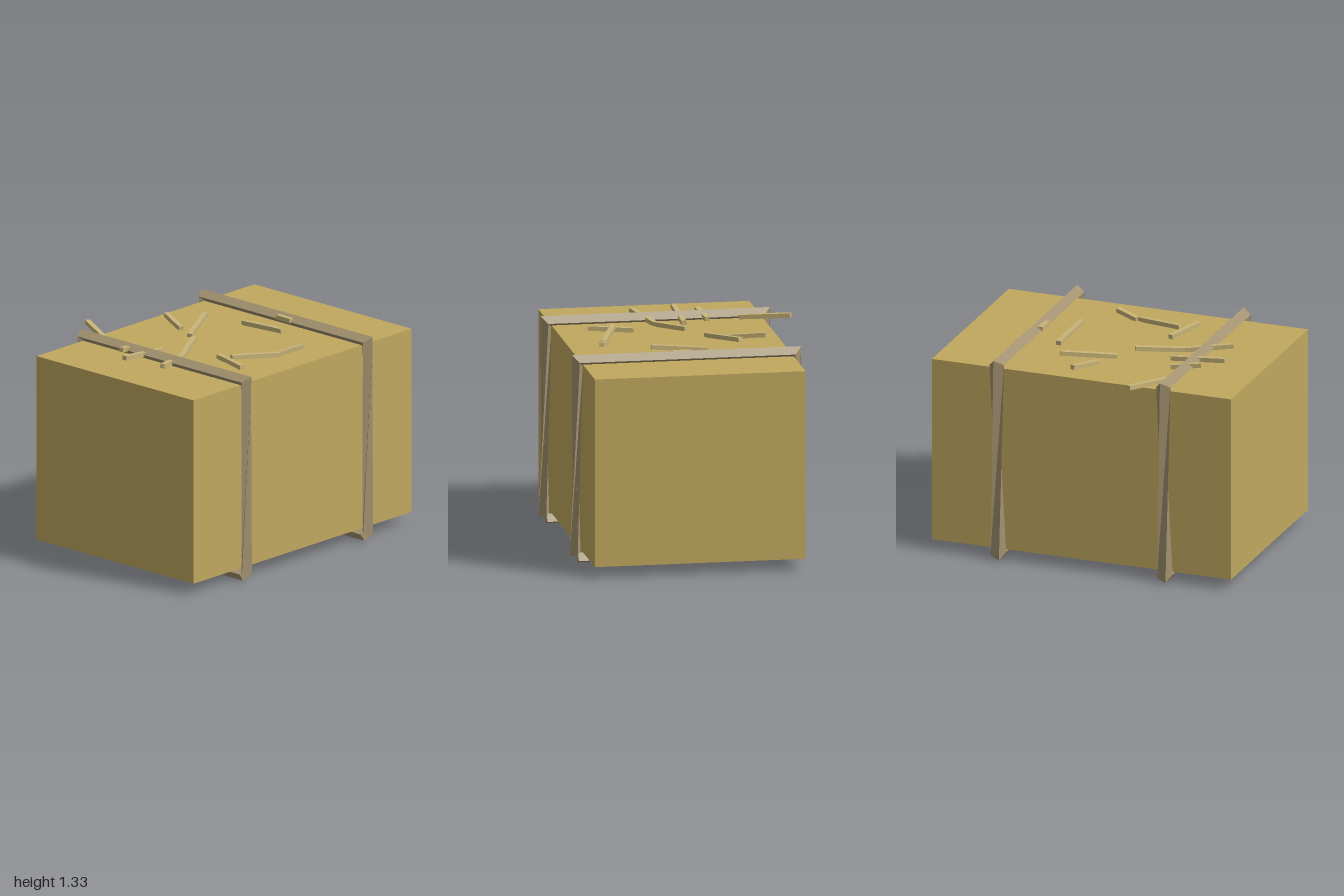
import * as THREE from 'three';

const hay = new THREE.MeshStandardMaterial({ name: 'hay', color: 0xc0a85f, flatShading: true });
const twine = new THREE.MeshStandardMaterial({ name: 'twine', color: 0xa39270, flatShading: true });
const straw = new THREE.MeshStandardMaterial({ name: 'straw', color: 0xc8b478, flatShading: true });

// Four-sided strap wrapped round the bale: [dx, y, z, outward y, outward z, phase in degrees]
const STATIONS = [
  [-0.005, 0.042, 0.735, -1, 0, 20],
  [-0.005, 0.05, -0.642, -1, -1, 20],
  [0.005, 1.305, -0.642, 1, -1, 80],
  [0.005, 1.305, 0.738, 1, 1, 80],
  [-0.005, 0.058, 0.75, 0, 1, 170],
];

function strapGeometry() {
  const rings = STATIONS.map(([dx, y, z, oy, oz, phase]) =>
    [0, 1, 2, 3].map((i) => {
      const a = THREE.MathUtils.degToRad(phase + i * 90);
      const out = Math.sin(a) * 0.037;
      return [dx + Math.cos(a) * 0.051, y + oy * out, z + oz * out];
    }));
  const pos = [];
  const quad = (a, b, c, d) => pos.push(...a, ...b, ...c, ...a, ...c, ...d);
  for (let s = 0; s < rings.length - 1; s++) {
    for (let i = 0; i < 4; i++) {
      const j = (i + 1) % 4;
      quad(rings[s][i], rings[s][j], rings[s + 1][j], rings[s + 1][i]);
    }
  }
  // end caps
  quad(...[...rings[0]].reverse());
  quad(...rings[rings.length - 1]);
  const g = new THREE.BufferGeometry();
  g.setAttribute('position', new THREE.Float32BufferAttribute(pos, 3));
  g.computeVertexNormals();
  return g;
}

// Loose straws on top, each from one end point to the other
const STRAWS = [
  [[-0.37, 1.325, -0.78], [-0.51, 1.295, -0.48]],
  [[-0.65, 1.325, -0.235], [-0.46, 1.3, -0.267]],
  [[-0.76, 1.325, -0.105], [-0.4, 1.295, -0.108]],
  [[-0.71, 1.32, 0.17], [-0.42, 1.29, 0.07]],
  [[-0.43, 1.29, 0.075], [-0.15, 1.315, -0.08]],
  [[0.095, 1.315, -0.54], [0.005, 1.29, -0.33]],
  [[0.25, 1.325, -0.35], [-0.07, 1.29, -0.19]],
  [[0.35, 1.295, -0.12], [0.33, 1.32, 0.23]],
  [[-0.26, 1.295, 0.235], [-0.345, 1.3, 0.51]],
  [[-0.28, 1.32, 0.36], [0.04, 1.29, 0.48]],
  [[0.05, 1.29, 0.465], [0.2, 1.315, 0.52]],
  [[0.522, 1.32, 0.01], [0.52, 1.32, 0.13]],
];

function strawMesh([from, to]) {
  const a = new THREE.Vector3(...from);
  const b = new THREE.Vector3(...to);
  const m = new THREE.Mesh(new THREE.BoxGeometry(0.032, 0.028, a.distanceTo(b)), straw);
  m.position.copy(a).lerp(b, 0.5);
  m.lookAt(b);
  m.name = 'looseStraw';
  return m;
}

export function createModel() {
  const model = new THREE.Group();
  model.name = 'hayBale';

  // bale body
  const bale = new THREE.Mesh(new THREE.BoxGeometry(2, 1.2, 1.335), hay);
  bale.position.set(0, 0.68, 0.038);
  bale.name = 'bale';
  model.add(bale);

  // binding straps
  const strapGeo = strapGeometry();
  for (const [name, x] of [['rightStrap', -0.557], ['leftStrap', 0.556]]) {
    const strap = new THREE.Mesh(strapGeo, twine);
    strap.position.x = x;
    strap.name = name;
    model.add(strap);
  }

  // loose straws
  const straws = new THREE.Group();
  straws.name = 'looseStraws';
  STRAWS.forEach((s) => straws.add(strawMesh(s)));
  model.add(straws);
  return model;
}
